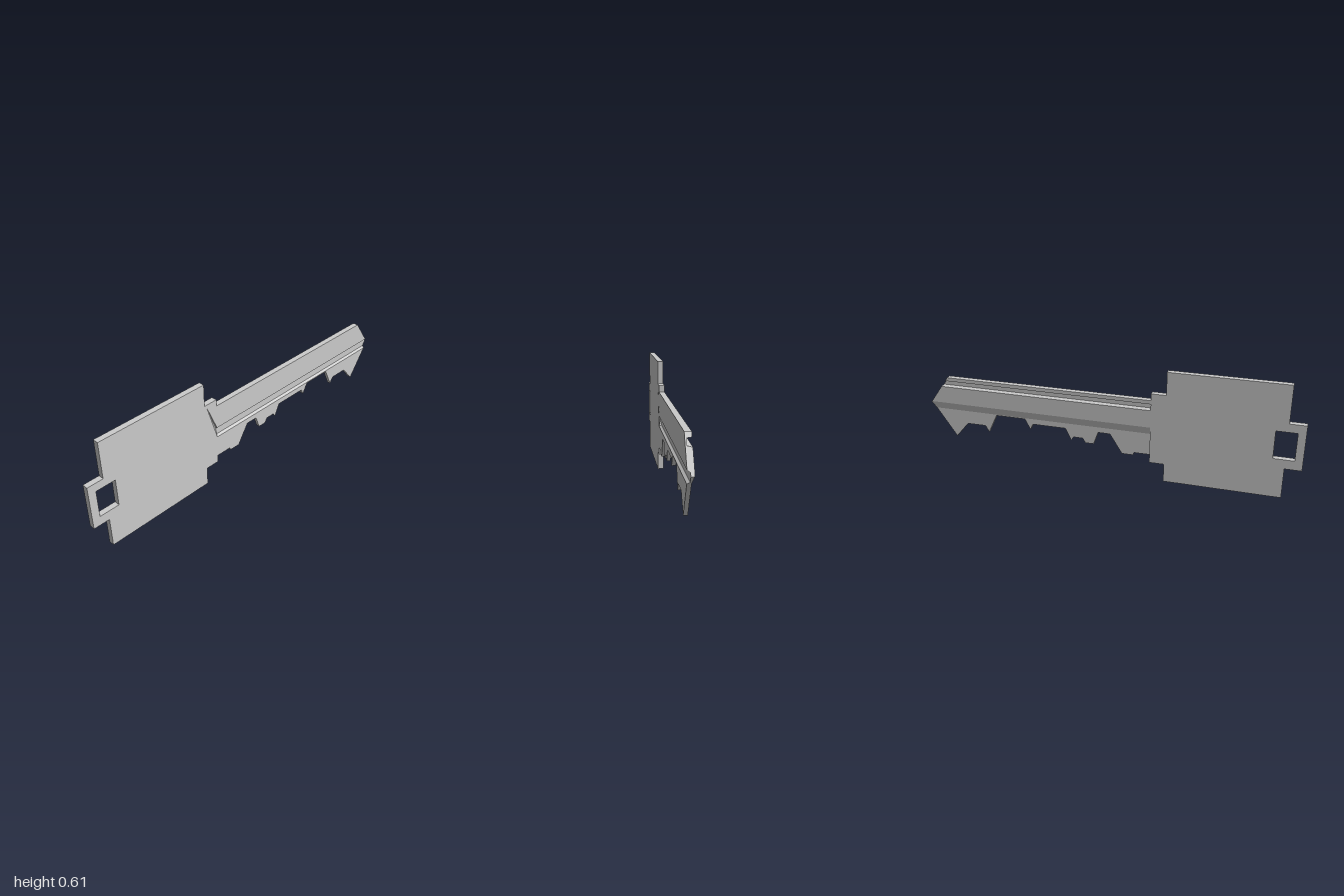
import * as THREE from 'three';

const FRONT = 0.015, BACK = -0.015, FLOOR = 0.002; // plate faces and groove floor
const START = -0.235, TIP_Y = 0.295;               // blade root and height of the point
const material = new THREE.MeshStandardMaterial({ color: 0xcccccc, flatShading: true, side: THREE.DoubleSide });

const toShape = pts => new THREE.Shape(pts.map(([x, y]) => new THREE.Vector2(x, y)));

function addMesh(group, name, geometry) {
  const mesh = new THREE.Mesh(geometry, material);
  mesh.name = name;
  group.add(mesh);
}

// Flat plate between two depths, with optional hole
function plate(pts, z0, z1, hole) {
  const shape = toShape(pts);
  if (hole) shape.holes.push(toShape(hole));
  return new THREE.ExtrudeGeometry(shape, { depth: z1 - z0, bevelEnabled: false }).translate(0, 0, z0);
}

// Blade bar: a [z, y] section run along x, its far end mitred to the point
function bar(section) {
  const geo = new THREE.ExtrudeGeometry(toShape(section.map(([z, y]) => [-z, y])), { depth: 1, bevelEnabled: false });
  geo.rotateY(Math.PI / 2);
  const p = geo.attributes.position;
  for (let i = 0; i < p.count; i++) {
    const dy = p.getY(i) - TIP_Y;
    const end = 1 - (dy > 0 ? dy * 0.71 : -dy * 0.667);
    p.setX(i, p.getX(i) > 0.5 ? end : START);
  }
  geo.computeVertexNormals();
  return geo;
}

export function createModel() {
  const key = new THREE.Group();
  key.name = 'key';

  // Head with lanyard tab and collar; the front layer has the groove run-out notch
  const notch = [[START, 0.26], [-0.3, 0.475], [START, 0.317]];
  const outline = cut => [
    [-0.915, 0], [-0.312, 0], [-0.312, 0.1], [START, 0.1], ...cut, [START, 0.487], [-0.312, 0.487],
    [-0.312, 0.61], [-0.915, 0.61], [-0.915, 0.41], [-1, 0.41], [-1, 0.165], [-0.915, 0.165],
  ];
  const hole = [[-0.96, 0.215], [-0.96, 0.365], [-0.855, 0.365], [-0.855, 0.215]];
  addMesh(key, 'headBack', plate(outline([]), BACK, FLOOR, hole));
  addMesh(key, 'headFront', plate(outline(notch), FLOOR, FRONT, hole));

  // Sloping floor of the run-out
  const ramp = new THREE.BufferGeometry();
  ramp.setAttribute('position', new THREE.Float32BufferAttribute([
    -0.3, 0.475, FRONT, START, 0.26, FRONT, START, 0.31, FLOOR,
  ], 3));
  ramp.computeVertexNormals();
  addMesh(key, 'grooveRunOut', ramp);

  // Blade above the point, with the back groove and the top of the front groove
  addMesh(key, 'bladeUpper', bar([
    [FLOOR, TIP_Y], [FLOOR, 0.309], [FRONT, 0.317], [FRONT, 0.45], [BACK, 0.45], [BACK, 0.43],
    [0.008, 0.427], [0.008, 0.4], [BACK, 0.395], [BACK, 0.3], [-0.0135, TIP_Y],
  ]));
  // Blade below the point, thinning towards the teeth
  addMesh(key, 'bladeLower', bar([
    [FRONT, 0.26], [FLOOR, 0.268], [FLOOR, TIP_Y], [-0.0135, TIP_Y], [-0.004, 0.26],
  ]));

  // Cut teeth along the lower edge
  addMesh(key, 'teeth', plate([
    [START, 0.26], [START, 0.14], [-0.15, 0.14], [-0.145, 0.125], [-0.085, 0.125], [-0.02, 0.23],
    [0.045, 0.23], [0.07, 0.16], [0.115, 0.16], [0.13, 0.185], [0.18, 0.185], [0.195, 0.165],
    [0.225, 0.23], [0.41, 0.23], [0.425, 0.198], [0.455, 0.255], [0.62, 0.255], [0.67, 0.15],
    [0.69, 0.185], [0.795, 0.185], [0.868, 0.1], [0.977, 0.26],
  ], -0.004, FRONT));

  return key;
}
